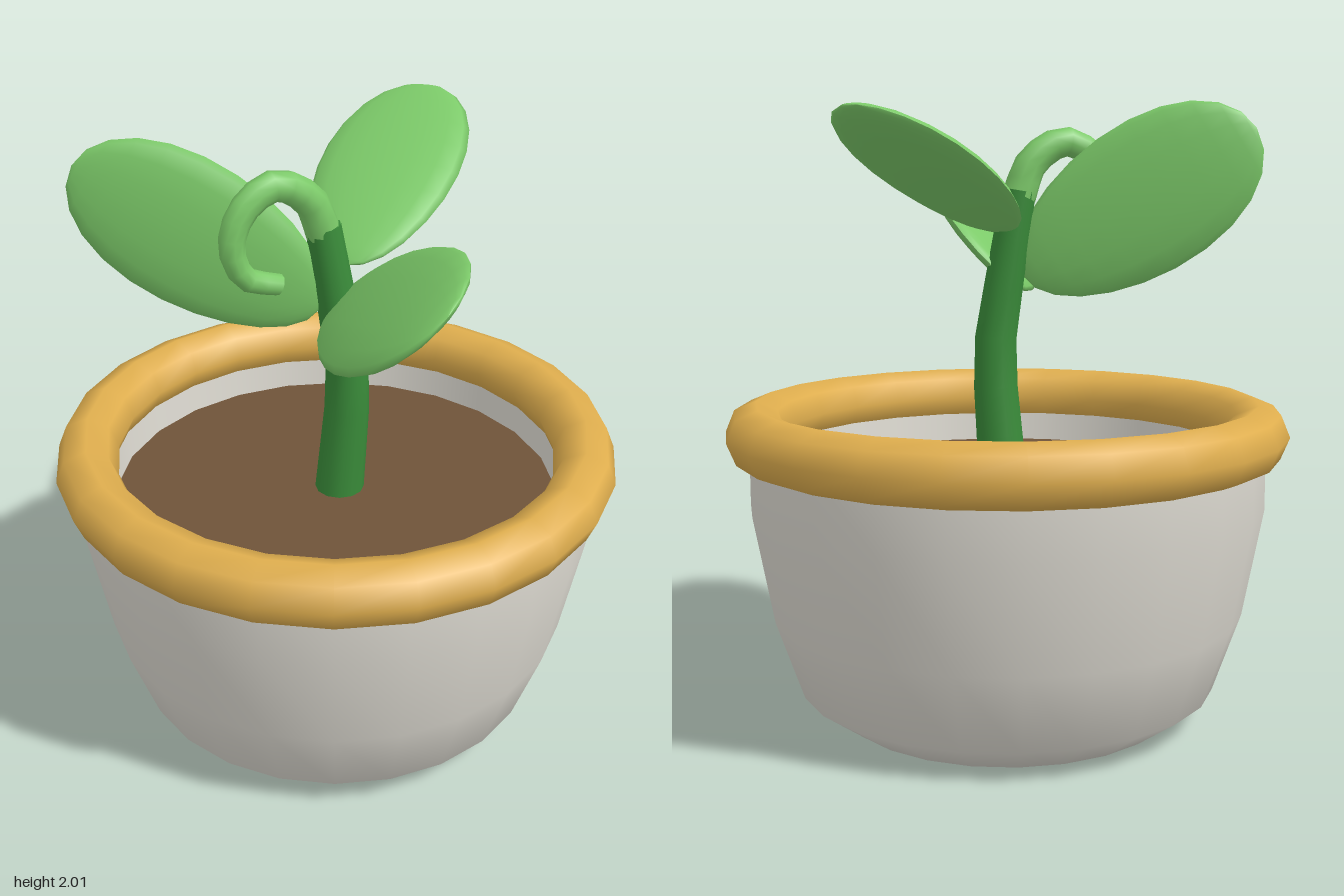
import * as THREE from 'three';

const mat = (name, color) => Object.assign(new THREE.MeshStandardMaterial({ color }), { name });
const V = (x, y, z) => new THREE.Vector3(x, y, z);

export function createModel() {
  const ceramic = mat('pale ceramic', 0xdedbd2);
  const ochre = mat('ochre rim', 0xdfae4e);
  const earth = mat('brown soil', 0x6f5339);
  const stemGreen = mat('dark green', 0x3a8c3a);
  const leafGreen = mat('light green', 0x7cca69);

  const root = new THREE.Group();
  root.name = 'pottedSprout';
  const add = (name, geometry, material, parent = root) => {
    const mesh = new THREE.Mesh(geometry, material);
    mesh.name = name;
    parent.add(mesh);
    return mesh;
  };
  const lathe = (pts) => new THREE.LatheGeometry(pts.map(([r, y]) => new THREE.Vector2(r, y)), 24);

  // Pot: rounded outer wall, then the inner wall down past the soil
  add('potWall', lathe([[0.16, 0], [0.55, 0], [0.69, 0.1], [0.78, 0.36], [0.845, 0.71], [0.845, 0.92]]), ceramic);
  add('potInnerWall', lathe([[0.75, 0.95], [0.735, 0.74]]), ceramic);

  // Pale plug in the middle of the base
  const plug = new THREE.CircleGeometry(0.16, 24).rotateX(Math.PI / 2);
  const n = plug.attributes.normal;
  for (let i = 0; i < n.count; i++) n.setXYZ(i, 0, 1, 0);
  add('drainPlug', plug, ceramic);

  // Thick rounded rim
  add('rim', new THREE.TorusGeometry(0.82, 0.1, 8, 24).rotateX(Math.PI / 2), ochre).position.y = 0.95;

  add('soil', new THREE.CircleGeometry(0.74, 24).rotateX(-Math.PI / 2), earth).position.y = 0.79;

  // Tube tapering from r0 to r1, closed with a flat cap at its far end
  const taperedTube = (name, points, r0, r1, segs, sides, material) => {
    const group = new THREE.Group();
    group.name = name;
    root.add(group);
    const path = new THREE.CatmullRomCurve3(points);
    const geo = new THREE.TubeGeometry(path, segs, 1, sides);
    const p = geo.attributes.position, v = V(0, 0, 0);
    for (let i = 0; i <= segs; i++) {
      const c = path.getPointAt(i / segs);
      const r = THREE.MathUtils.lerp(r0, r1, i / segs);
      for (let j = 0; j <= sides; j++) {
        const k = i * (sides + 1) + j;
        v.fromBufferAttribute(p, k).sub(c).multiplyScalar(r).add(c);
        p.setXYZ(k, v.x, v.y, v.z);
      }
    }
    add(name + 'Tube', geo, material, group);
    const cap = add(name + 'Cap', new THREE.CircleGeometry(r1, sides), material, group);
    cap.position.copy(path.getPointAt(1));
    cap.quaternion.setFromUnitVectors(V(0, 0, 1), path.getTangentAt(1));
  };

  taperedTube('stem', [V(0.01, 0.77, -0.01), V(0.037, 1.22, -0.01), V(0.005, 1.45, -0.005), V(-0.04, 1.73, 0)],
    0.082, 0.056, 6, 12, stemGreen);

  // Curled shoot, lying in an upright plane turned towards the front
  const curl = [[-0.04, 1.71], [-0.08, 1.82], [-0.18, 1.885], [-0.27, 1.83], [-0.31, 1.72], [-0.275, 1.61], [-0.175, 1.565]];
  taperedTube('curledShoot', curl.map(([x, y]) => V(x, y, -(x + 0.04) * 0.52)), 0.056, 0.034, 14, 10, leafGreen);

  // Leaf: flattened egg stretched from base to tip, facing along normal
  const leaf = (name, base, tip, normal, halfWidth) => {
    const along = tip.clone().sub(base);
    const half = along.length() / 2;
    const geo = new THREE.SphereGeometry(1, 16, 12);
    const p = geo.attributes.position;
    for (let i = 0; i < p.count; i++) {
      const y = p.getY(i), egg = 1 + 0.1 * y;
      p.setXYZ(i, p.getX(i) * halfWidth * egg, y * half, p.getZ(i) * 0.05);
    }
    geo.computeVertexNormals();
    along.normalize();
    const across = V(0, 0, 0).crossVectors(along, normal).normalize();
    const face = V(0, 0, 0).crossVectors(across, along);
    const mesh = add(name, geo, leafGreen);
    mesh.quaternion.setFromRotationMatrix(new THREE.Matrix4().makeBasis(across, along, face));
    mesh.position.copy(base).lerp(tip, 0.5);
  };
  leaf('rightLeaf', V(-0.05, 1.455, 0.01), V(-0.79, 1.92, 0), V(0, 0, 1), 0.24);
  leaf('frontLeaf', V(0, 1.45, -0.03), V(0.3, 1.745, 0.67), V(-0.69, 0.72, 0), 0.245);
  leaf('backLeaf', V(0.03, 1.6, 0), V(0.29, 1.965, -0.68), V(-0.27, 1, 0.43), 0.245);

  return root;
}
